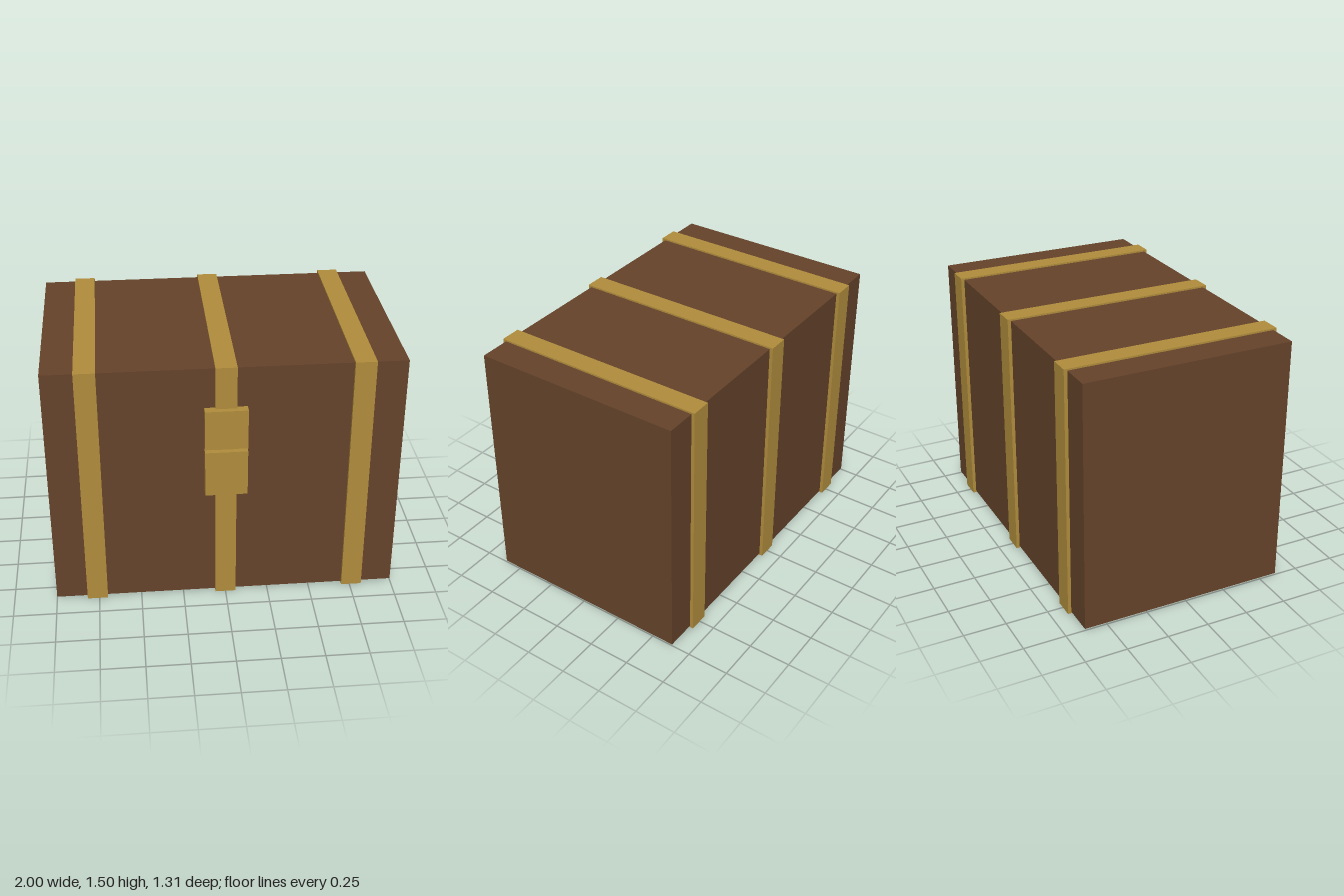
import * as THREE from 'three';

const wood = new THREE.MeshStandardMaterial({ color: 0x65432a });
const brass = new THREE.MeshStandardMaterial({ color: 0xb08d3c });

function box(name, material, [w, h, d], [x, y, z]) {
  const mesh = new THREE.Mesh(new THREE.BoxGeometry(w, h, d), material);
  mesh.name = name;
  mesh.position.set(x, y, z);
  return mesh;
}

// Rectangle centred on the origin, as a shape or a hole
function rect(Type, w, h) {
  return new Type([[-w, -h], [w, -h], [w, h], [-w, h]].map(([x, y]) => new THREE.Vector2(x / 2, y / 2)));
}

export function createModel() {
  const chest = new THREE.Group();
  chest.name = 'chest';
  const midY = 0.75, midZ = -0.015;

  // Wooden body
  chest.add(box('body', wood, [2, 1.48, 1.24], [0, midY, midZ]));

  // Metal bands wrapped round the body
  const bandWidth = 0.12;
  const loop = rect(THREE.Shape, 1.28, 1.5);
  loop.holes.push(rect(THREE.Path, 1.24, 1.48));
  const bandGeometry = new THREE.ExtrudeGeometry(loop, { depth: bandWidth, bevelEnabled: false });
  bandGeometry.translate(0, 0, -bandWidth / 2).rotateY(Math.PI / 2);
  for (const [name, x] of [['rightBand', -0.76], ['middleBand', 0], ['leftBand', 0.76]]) {
    const band = new THREE.Mesh(bandGeometry, brass);
    band.name = name;
    band.position.set(x, midY, midZ);
    chest.add(band);
  }

  // Two-part clasp on the front
  const clasp = new THREE.Group();
  clasp.name = 'clasp';
  clasp.add(
    box('upperPlate', brass, [0.24, 0.24, 0.05], [0, 1.13, 0.63]),
    box('lowerPlate', brass, [0.24, 0.28, 0.05], [0, 0.85, 0.63])
  );
  chest.add(clasp);

  return chest;
}
